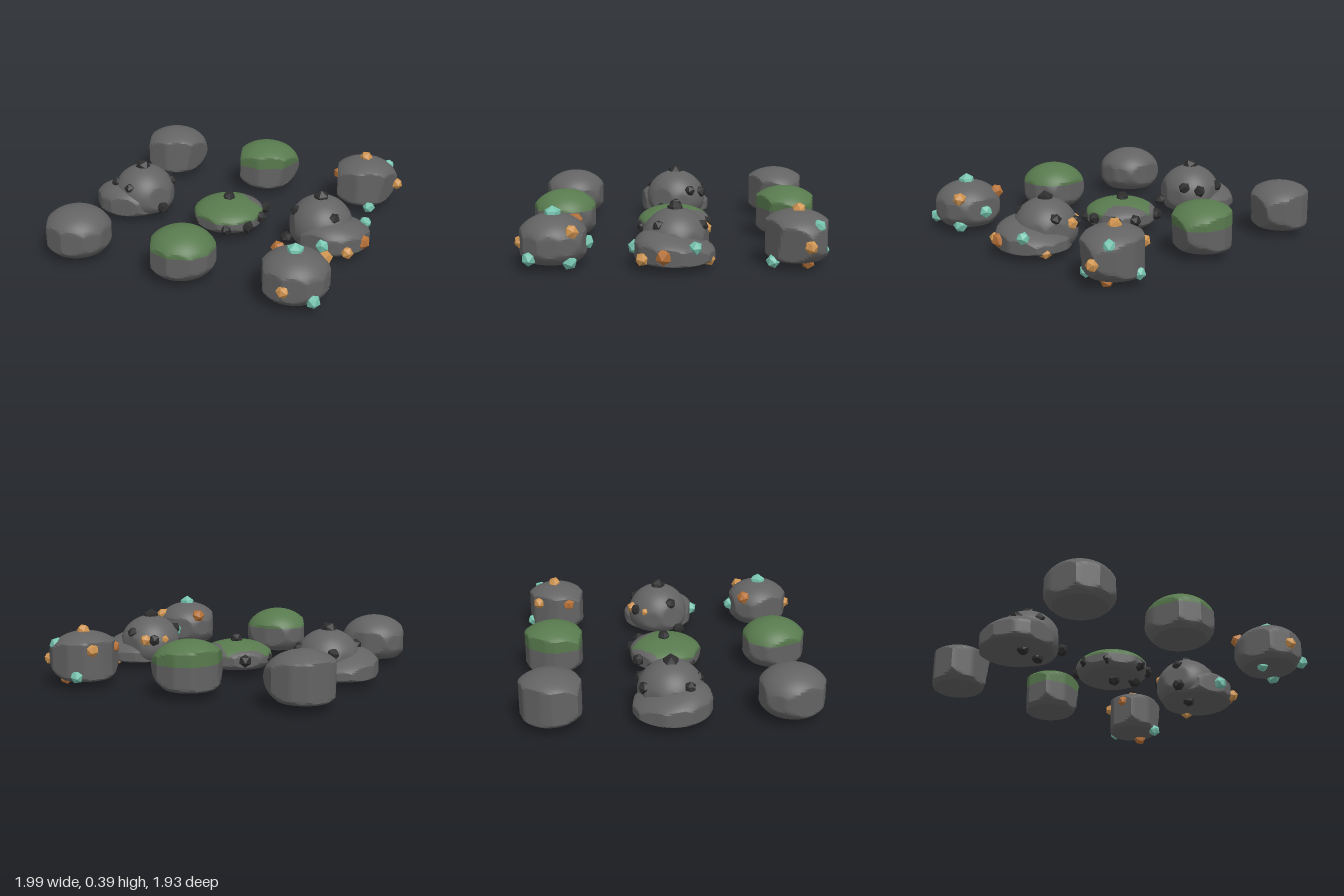
import * as THREE from 'three';
import { toCreasedNormals } from 'three/addons/utils/BufferGeometryUtils.js';

const paint = (name, color) => {
  const m = new THREE.MeshStandardMaterial({ color });
  m.name = name;
  return m;
};

// Builds a rounded boulder on a flat base, trimmed by steep facet planes.
// facets: [angle in degrees from +x towards +z, distance, outward lean]
function boulderGeometry({ R, c, up, down, base, facets, split, tilt = 0 }) {
  const rows = 26, points = [new THREE.Vector2(0, base)];
  const t0 = Math.asin((base - c) / down);
  const angles = [];
  for (let i = 0; i <= rows; i++) angles.push(t0 + (Math.PI / 2 - t0) * i / rows);
  if (split !== undefined) { // one row lies exactly on the moss line
    const ts = Math.asin((split - c) / up);
    const near = angles.reduce((b, t, i) => Math.abs(t - ts) < Math.abs(angles[b] - ts) ? i : b, 0);
    angles[near] = ts;
  }
  for (const t of angles) {
    const s = Math.sin(t);
    points.push(new THREE.Vector2(Math.max(0, R * Math.cos(t)), c + s * (s < 0 ? down : up)));
  }
  const geo = new THREE.LatheGeometry(points, 72);
  const p = geo.attributes.position;
  for (let i = 0; i < p.count; i++) {
    const x = p.getX(i), y = p.getY(i), z = p.getZ(i);
    const r = Math.hypot(x, z), a = Math.atan2(z, x);
    let limit = r;
    for (const [deg, h, lean = 0] of facets) {
      const k = Math.cos(a - deg * Math.PI / 180);
      if (k > 0.1) limit = Math.min(limit, Math.max(0, (h + lean * (y - c)) / k));
    }
    const f = r > 1e-6 ? limit / r : 0;
    p.setXYZ(i, x * f, y + tilt * z * f * (y - base) / (c + up - base), z * f);
  }
  return toCreasedNormals(geo, 0.38);
}

// Splits a geometry into two by a rule on each triangle's centre
function splitBy(geo, rule) {
  const p = geo.attributes.position.array, n = geo.attributes.normal.array;
  const parts = [{ p: [], n: [] }, { p: [], n: [] }];
  for (let i = 0; i < p.length; i += 9) {
    const mid = [0, 1, 2].map(k => (p[i + k] + p[i + 3 + k] + p[i + 6 + k]) / 3);
    const part = parts[rule(...mid) ? 1 : 0];
    for (let k = 0; k < 9; k++) { part.p.push(p[i + k]); part.n.push(n[i + k]); }
  }
  return parts.map(q => {
    const g = new THREE.BufferGeometry();
    g.setAttribute('position', new THREE.Float32BufferAttribute(q.p, 3));
    g.setAttribute('normal', new THREE.Float32BufferAttribute(q.n, 3));
    return g;
  });
}

export function createModel() {
  const model = new THREE.Group();
  model.name = 'boulderSet';
  const stone = paint('stone', 0x636363);
  const moss = paint('moss', 0x587a4e);
  const coal = paint('coal', 0x2d2d2d);
  const amber = paint('amber', 0xcf9450);
  const copper = paint('copper', 0xb87238);
  const teal = paint('teal', 0x76c4ae);

  const addMesh = (name, geo, mat, x, z) => {
    const m = new THREE.Mesh(geo, mat);
    m.name = name;
    m.position.set(x, 0, z);
    model.add(m);
    return m;
  };
  const addMossy = (name, geo, x, z, rule) => {
    const [low, top] = splitBy(geo, rule);
    addMesh(name, low, stone, x, z);
    addMesh(name + 'Moss', top, moss, x, z);
  };

  // Faceted ore nuggets
  const nugget = toCreasedNormals(new THREE.IcosahedronGeometry(1, 0), 0.1);
  let count = 0;
  const addNuggets = (name, mat, list) => list.forEach(([x, y, z, r = 0.043]) => {
    const m = addMesh(name, nugget, mat, x, z);
    m.position.y = Math.max(y, r * 0.95);
    m.scale.setScalar(r);
    m.rotation.set(count * 1.3, count * 2.1, count * 0.7);
    count++;
  });

  // Front row: plain, mossy and ore-bearing copies of one round boulder
  const dx = 0.745;
  const frontShape = {
    R: 0.226, c: 0.16, up: 0.17, down: 0.17, base: 0.045, split: 0.21,
    facets: [[0, 0.21], [36, 0.211], [74, 0.2], [108, 0.198], [156, 0.19], [180, 0.21],
      [212, 0.215], [260, 0.203], [281, 0.206], [331, 0.215]],
  };
  const frontGeo = boulderGeometry(frontShape);
  // Back row: a boulder with a sheared side
  const backShape = {
    R: 0.238, c: 0.19, up: 0.16, down: 0.19, base: 0.05, split: 0.21,
    facets: [[17, 0.192, 0.15], [63, 0.177], [98, 0.19], [163, 0.185], [197, 0.178],
      [214, 0.17], [252, 0.18], [281, 0.19], [315, 0.216]],
  };
  const backGeo = boulderGeometry(backShape);
  for (const [row, geo, x, z] of [['front', frontGeo, -0.757, 0.727], ['back', backGeo, -0.78, -0.76]]) {
    addMesh(row + 'PlainBoulder', geo, stone, x, z);
    addMossy(row + 'MossyBoulder', geo, x + dx, z, (px, py) => py > 0.21);
    addMesh(row + 'OreBoulder', geo, stone, x + 2 * dx, z);
  }

  // Middle row: a dome leaning over a low slab, mirrored on both sides
  const domeGeo = side => boulderGeometry({
    R: 0.212, c: 0.14, up: 0.205, down: 0.16, base: 0.05,
    facets: [10, 58, 100, 150, 195, 238, 285, 325].map((a, i) =>
      [side > 0 ? a : 180 - a, 0.195 + 0.008 * (i % 3), -0.08 * (i % 2)]),
  });
  const slabGeo = side => boulderGeometry({
    R: 0.262, c: 0.09, up: 0.135, down: 0.09, base: 0.045, tilt: 0.2,
    facets: [5, 40, 70, 100, 145, 190, 230, 262, 290, 330].map((a, i) =>
      [side > 0 ? a : 180 - a, 0.235 + 0.006 * (i % 3)]),
  });
  for (const side of [-1, 1]) {
    const word = side > 0 ? 'left' : 'right';
    addMesh(word + 'ClusterDome', domeGeo(side), stone, -0.012 + side * 0.655, -0.02);
    addMesh(word + 'ClusterSlab', slabGeo(side), stone, -0.012 + side * 0.74, -0.015);
  }

  // Centre: a flat mossy boulder with two bare back corners
  const flatGeo = boulderGeometry({
    R: 0.245, c: 0.11, up: 0.11, down: 0.1, base: 0.05, split: 0.13,
    facets: [0, 38, 72, 110, 150, 188, 228, 265, 300, 332].map((a, i) => [a, 0.225 + 0.006 * (i % 3)]),
  });
  addMossy('flatBoulder', flatGeo, -0.012, -0.01, (x, y, z) =>
    y > 0.13 && z > Math.min(-0.235 + Math.abs(x + 0.04), -0.065));

  // Coal nuggets on the middle row
  addNuggets('coalNugget', coal, [
    [-0.67, 0.335, -0.02, 0.055], [-0.58, 0.2, -0.2], [-0.76, 0.21, -0.185], [-0.51, 0.22, -0.12],
    [-0.82, 0.23, 0.085], [-0.685, 0.23, 0.145], [-0.47, 0.1, 0.08], [-0.74, 0.045, 0.05], [-0.6, 0.04, 0],
    [0.64, 0.335, -0.02, 0.055], [0.53, 0.2, -0.18], [0.5, 0.25, 0.06], [0.76, 0.25, 0.08],
    [0.69, 0.24, -0.18], [0.455, 0.075, 0.12], [0.64, 0.04, 0],
    [-0.015, 0.225, -0.02], [-0.16, 0.12, -0.2], [0.06, 0.12, -0.23], [0.19, 0.12, -0.175],
    [0.22, 0.12, -0.01], [0.18, 0.1, 0.12], [0.06, 0.09, 0.2], [-0.155, 0.1, 0.14],
    [-0.23, 0.11, 0], [0, 0.04, 0], [0.13, 0.045, 0.05],
  ]);

  // Amber, copper and teal nuggets on the ore boulders
  addNuggets('amberNugget', amber, [
    [0.88, 0.245, 0.6, 0.047], [0.735, 0.15, 0.925],
    [0.717, 0.35, -0.77, 0.045], [0.585, 0.25, -0.877], [0.935, 0.165, -0.824],
    [0.58, 0.2, -0.205], [0.48, 0.2, -0.12, 0.03], [0.89, 0.08, 0.18], [0.8, 0.06, -0.22],
  ]);
  addNuggets('copperNugget', copper, [
    [0.583, 0.25, 0.604, 0.049], [0.56, 0.245, -0.67, 0.046], [0.85, 0.25, -0.68, 0.047],
    [0.82, 0.045, -0.82], [0.95, 0.11, 0.05, 0.052],
  ]);
  addNuggets('tealNugget', teal, [
    [0.735, 0.32, 0.727, 0.058], [0.73, 0.15, 0.52, 0.046], [0.9, 0.085, 0.855, 0.046],
    [0.87, 0.06, 0.617, 0.05], [0.67, 0.045, 0.73, 0.04],
    [0.85, 0.27, -0.877, 0.046], [0.67, 0.085, -0.93], [0.8, 0.045, -0.61],
    [0.91, 0.155, -0.14], [0.74, 0.12, 0.225, 0.048],
  ]);
  return model;
}
